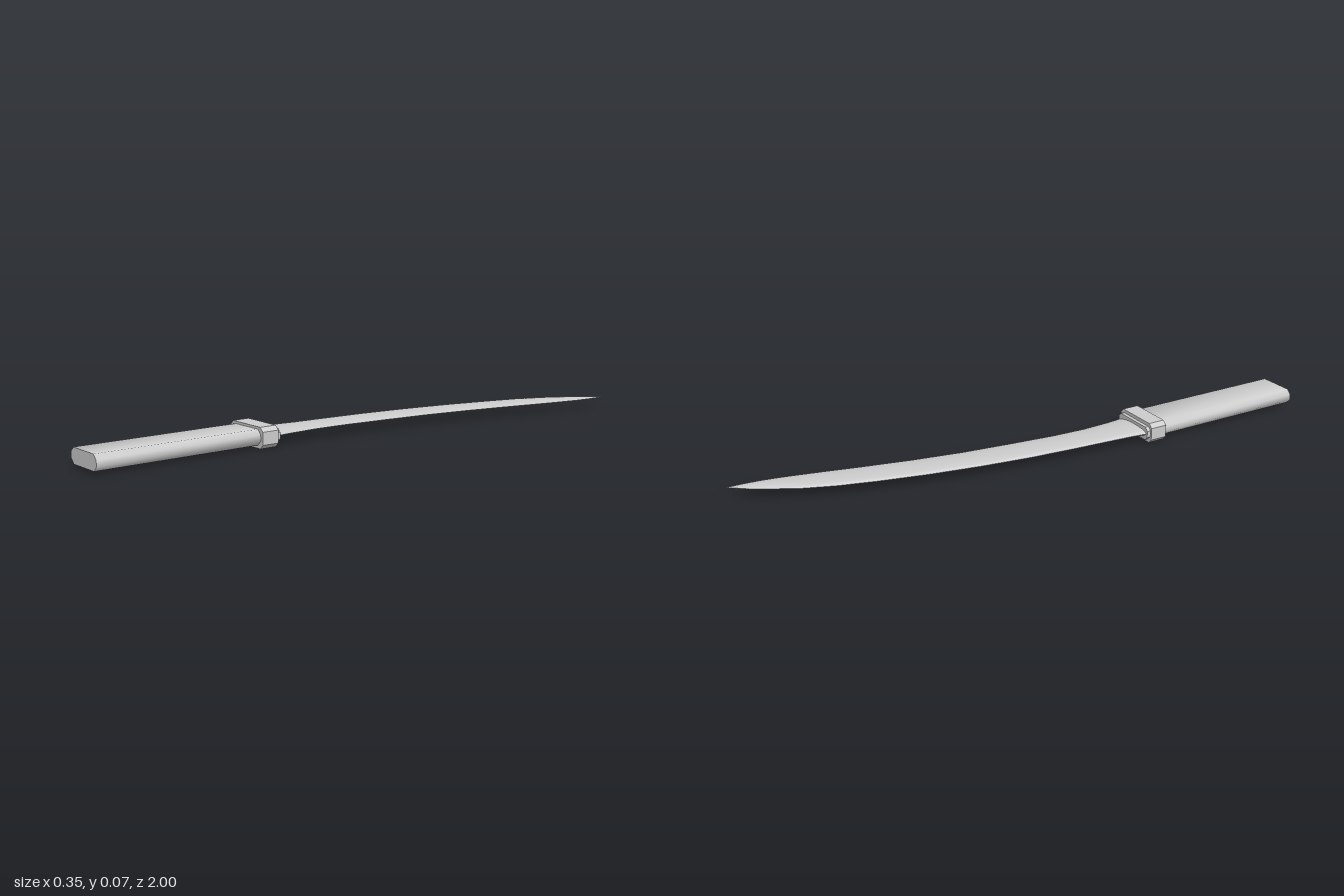
import * as THREE from 'three';
import { toCreasedNormals } from 'three/addons/utils/BufferGeometryUtils.js';

const MID_Y = 0.035;

// Rectangle with chamfered corners, drawn in x/y
function chamferedRect(x0, x1, y0, y1, c) {
  return new THREE.Shape([
    [x0 + c, y0], [x1 - c, y0], [x1, y0 + c], [x1, y1 - c],
    [x1 - c, y1], [x0 + c, y1], [x0, y1 - c], [x0, y0 + c],
  ].map(([x, y]) => new THREE.Vector2(x, y)));
}

// Chamfered bar running along z
function bar(name, material, rect, z0, z1, crease) {
  const geometry = new THREE.ExtrudeGeometry(chamferedRect(...rect), { depth: z1 - z0, bevelEnabled: false });
  geometry.translate(0, 0, z0);
  const mesh = new THREE.Mesh(toCreasedNormals(geometry, crease), material);
  mesh.name = name;
  return mesh;
}

// Curved blade: lens-shaped sections lofted from the guard to the tip
function bladeGeometry() {
  // z, left edge x, right edge x, half thickness
  const stations = [
    [0.37, -0.167, -0.008, 0.013], [0.3, -0.157, -0.015, 0.011], [0.2, -0.149, -0.02, 0.009],
    [0.08, -0.14, -0.014, 0.009], [-0.08, -0.125, 0.004, 0.009], [-0.25, -0.1, 0.026, 0.009],
    [-0.42, -0.068, 0.058, 0.0085], [-0.58, -0.029, 0.095, 0.008], [-0.7, 0.006, 0.125, 0.008],
    [-0.8, 0.045, 0.149, 0.007], [-0.88, 0.089, 0.165, 0.006], [-0.94, 0.125, 0.171, 0.004],
    [-1, 0.171, 0.173, 0.0006],
  ];
  // Position across the width and relative thickness of the upper side
  const upper = [[0, 0], [0.03, 0.45], [0.12, 0.75], [0.3, 0.95], [0.5, 1], [0.7, 0.85], [0.87, 0.5], [1, 0]];
  const section = [...upper, ...upper.slice(1, -1).reverse().map(([u, h]) => [u, -h])];
  const n = section.length;
  const positions = [];
  const index = [];
  for (const [z, x0, x1, t] of stations) {
    for (const [u, h] of section) positions.push(x0 + (x1 - x0) * u, MID_Y + h * t, z);
  }
  for (let i = 0; i < stations.length - 1; i++) {
    for (let j = 0; j < n; j++) {
      const a = i * n + j, b = i * n + (j + 1) % n;
      index.push(a, b, a + n, b, b + n, a + n);
    }
  }
  // End caps
  const last = (stations.length - 1) * n;
  for (let j = 1; j < n - 1; j++) {
    index.push(0, j + 1, j);
    index.push(last, last + j, last + j + 1);
  }
  const geometry = new THREE.BufferGeometry();
  geometry.setAttribute('position', new THREE.Float32BufferAttribute(positions, 3));
  geometry.setIndex(index);
  return toCreasedNormals(geometry, 0.9);
}

export function createModel() {
  const group = new THREE.Group();
  group.name = 'curvedSword';
  const grey = new THREE.MeshStandardMaterial({ color: 0xcccccc });
  grey.name = 'lightGrey';

  group.add(bar('handle', grey, [-0.165, -0.008, 0.01, 0.062, 0.016], 0.42, 1, 0.9));
  group.add(bar('guard', grey, [-0.177, 0.004, 0, 0.07, 0.014], 0.368, 0.428, 0.3));
  group.add(bar('collar', grey, [-0.171, -0.003, 0.012, 0.058, 0.012], 0.355, 0.37, 0.3));

  const blade = new THREE.Mesh(bladeGeometry(), grey);
  blade.name = 'blade';
  group.add(blade);
  return group;
}
